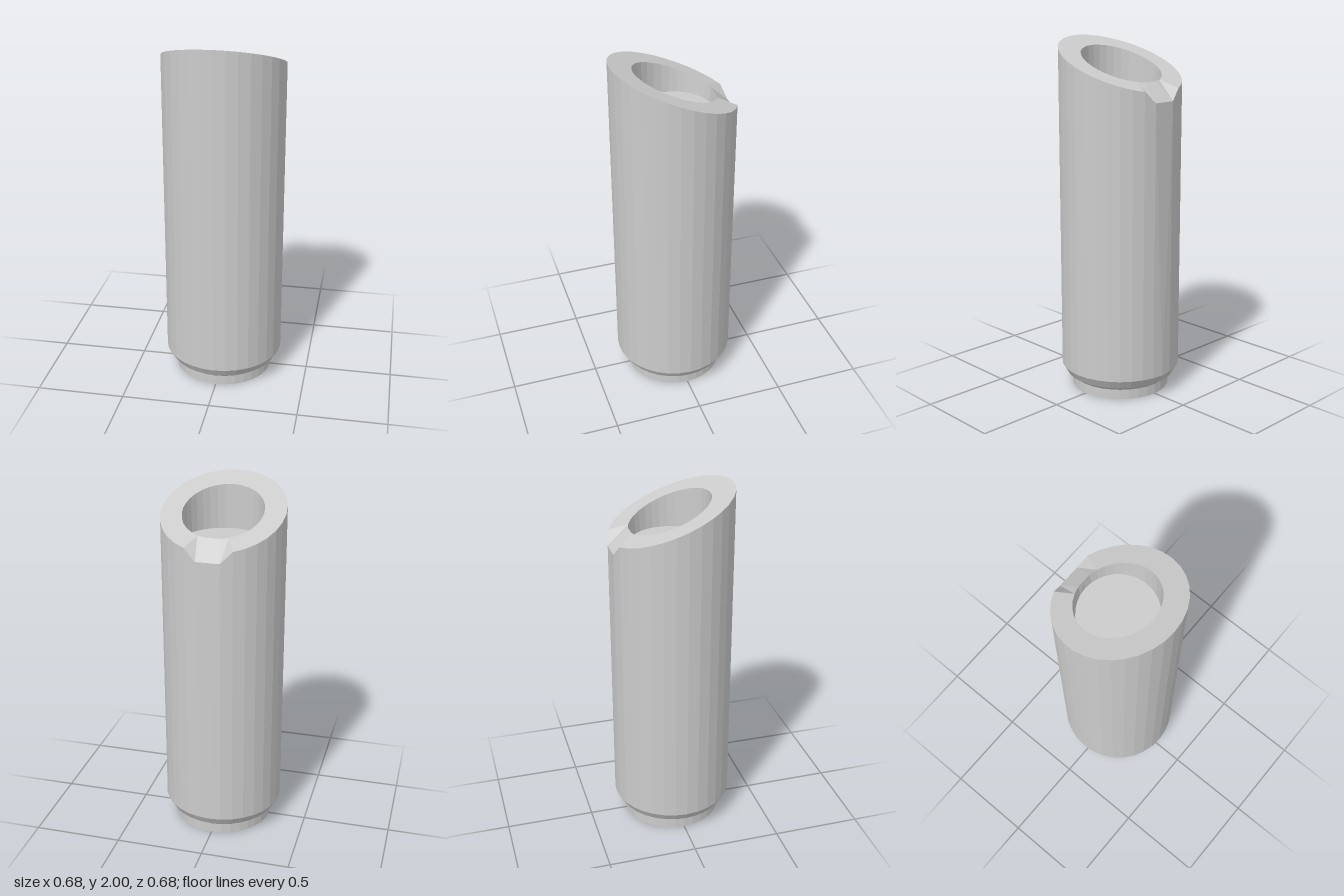
import * as THREE from 'three';

const SIDES = 32;
const BACK = SIDES / 2; // index of the rearmost column

// Height of the slanted top plane
const slant = (z) => 1.867 + 0.392 * z;

// Ring of points around y; height may be a number or a function of z
function ring(radius, height, centreZ = 0) {
  return Array.from({ length: SIDES }, (_, i) => {
    const a = (i / SIDES) * Math.PI * 2;
    const z = centreZ + radius * Math.cos(a);
    const y = typeof height === 'function' ? height(z) : height;
    return new THREE.Vector3(radius * Math.sin(a), y, z);
  });
}

// Straighten a ring across the rearmost column
function flattenBack(points) {
  points[BACK].lerpVectors(points[BACK - 1], points[BACK + 1], 0.5);
  return points;
}

// Faceted skin through consecutive rings (outside faces out when rings rise)
function skin(name, rings) {
  const pos = [];
  const push = (...pts) => {
    const [a, b, c] = pts;
    const area = b.clone().sub(a).cross(c.clone().sub(a)).length();
    if (area > 1e-9) pts.forEach((p) => pos.push(p.x, p.y, p.z));
  };
  for (let j = 0; j < rings.length - 1; j++) {
    for (let i = 0; i < SIDES; i++) {
      const k = (i + 1) % SIDES;
      const a = rings[j][i], b = rings[j][k], c = rings[j + 1][k], d = rings[j + 1][i];
      // Mirror the diagonal so both halves match
      if (i < BACK) { push(a, b, d); push(b, c, d); }
      else { push(a, b, c); push(a, c, d); }
    }
  }
  const geo = new THREE.BufferGeometry();
  geo.setAttribute('position', new THREE.Float32BufferAttribute(pos, 3));
  geo.computeVertexNormals();
  const mat = new THREE.MeshStandardMaterial({ color: 0xcccccc, flatShading: true });
  const mesh = new THREE.Mesh(geo, mat);
  mesh.name = name;
  return mesh;
}

export function createModel() {
  const group = new THREE.Group();
  group.name = 'slantedTube';

  // Outer rim with a shallow notch dropped into its low back edge
  const outerRim = ring(0.34, slant);
  for (const i of [BACK - 1, BACK + 1]) outerRim[i].y = 1.68;
  flattenBack(outerRim);
  const innerRim = flattenBack(ring(0.222, slant, -0.008));

  // Foot with closed underside
  group.add(skin('foot', [ring(0, 0), ring(0.28, 0), ring(0.28, 0.058)]));
  // Body with bevelled lower edge
  group.add(skin('body', [ring(0.28, 0.058), ring(0.31, 0.08), ring(0.34, 0.13), outerRim]));
  // Slanted rim face including the notch
  group.add(skin('rim', [outerRim, innerRim]));
  // Shallow recess with level floor
  group.add(skin('recess', [innerRim, ring(0.217, 1.7, -0.002), ring(0, 1.7, -0.002)]));

  return group;
}
